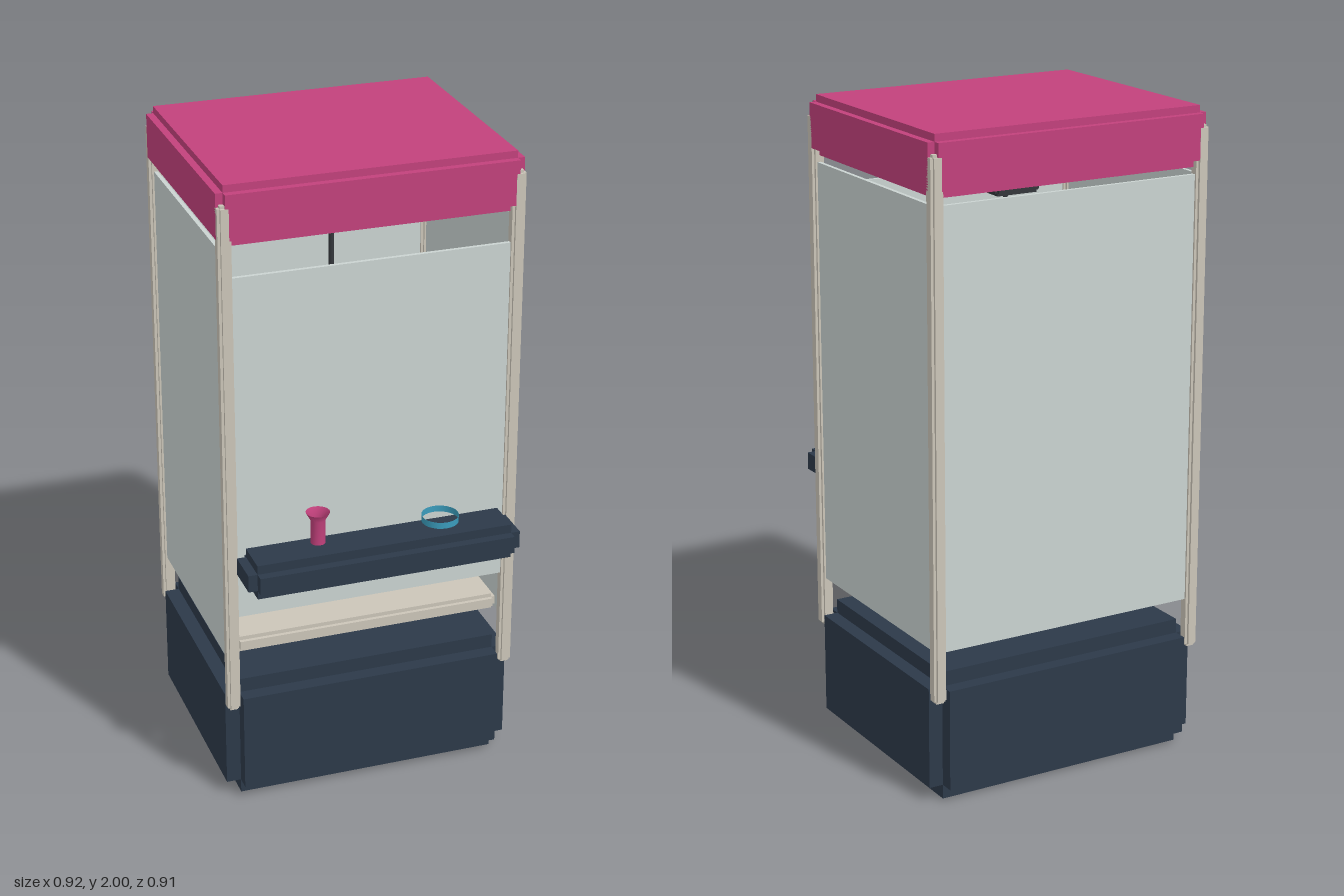
import * as THREE from 'three';

const PINK = 0xc2417c, NAVY = 0x2c3949, GLASS = 0xcad3d1, CREAM = 0xcbc5b8, BLUE = 0x3a9cbc, DARK = 0x33363b;
const MID_Z = -0.07; // centre of the cabinet, behind the console

const paint = (color, extra = {}) => new THREE.MeshStandardMaterial({ color, ...extra });

function add(parent, name, geometry, material, x = 0, y = 0, z = 0) {
  const mesh = new THREE.Mesh(geometry, material);
  mesh.name = name;
  mesh.position.set(x, y, z);
  parent.add(mesh);
  return mesh;
}

// Box with notched edges: three crossing boxes, each full size along one axis
function notchedBox(parent, name, color, [w, h, d], r, [x, y, z]) {
  const group = new THREE.Group();
  group.name = name;
  group.position.set(x, y, z);
  const material = paint(color);
  const inner = [w - 2 * r, h - 2 * r, d - 2 * r];
  [w, h, d].forEach((full, axis) => {
    const size = inner.slice();
    size[axis] = full;
    add(group, name + 'Core' + 'XYZ'[axis], new THREE.BoxGeometry(...size), material);
  });
  parent.add(group);
  return group;
}

export function createModel() {
  const model = new THREE.Group();
  model.name = 'clawMachine';

  // Cabinet base, prize floor and canopy
  notchedBox(model, 'base', NAVY, [0.915, 0.405, 0.765], 0.045, [0, 0.2025, MID_Z]);
  notchedBox(model, 'prizeFloor', CREAM, [0.84, 0.05, 0.69], 0.012, [0, 0.525, MID_Z]);
  notchedBox(model, 'canopy', PINK, [0.92, 0.18, 0.765], 0.022, [0, 1.91, MID_Z]);

  // Corner posts
  for (const sx of [-1, 1]) for (const sz of [-1, 1])
    notchedBox(model, 'cornerPost', CREAM, [0.04, 1.62, 0.04], 0.008, [sx * 0.44, 1.135, MID_Z + sz * 0.363]);

  // Glass: two sides, back, and a shorter front with openings above and below
  const glass = paint(GLASS);
  for (const sx of [-1, 1])
    add(model, 'sideGlass', new THREE.BoxGeometry(0.012, 1.32, 0.69), glass, sx * 0.44, 1.14, MID_Z);
  add(model, 'backGlass', new THREE.BoxGeometry(0.85, 1.32, 0.012), glass, 0, 1.14, MID_Z - 0.363);
  add(model, 'frontGlass', new THREE.BoxGeometry(0.85, 1.085, 0.012), glass, 0, 1.183, MID_Z + 0.363);

  // Control console with joystick and button ring
  notchedBox(model, 'console', NAVY, [0.85, 0.11, 0.17], 0.028, [0, 0.82, 0.37]);
  const stick = [[0.022, 0], [0.022, 0.075], [0.036, 0.1]].map(p => new THREE.Vector2(...p));
  add(model, 'joystick', new THREE.LatheGeometry(stick, 20),
    paint(PINK, { side: THREE.DoubleSide }), -0.193, 0.89, 0.37);
  add(model, 'buttonRing', new THREE.CylinderGeometry(0.056, 0.056, 0.02, 24, 1, true),
    paint(BLUE, { side: THREE.DoubleSide }), 0.19, 0.907, 0.37);

  // Claw: carriage, cable, hub and three curved prongs
  const claw = new THREE.Group();
  claw.name = 'claw';
  claw.position.z = MID_Z;
  model.add(claw);
  notchedBox(claw, 'carriage', DARK, [0.15, 0.055, 0.15], 0.009, [0, 1.758, 0]);
  const metal = paint(DARK);
  add(claw, 'cable', new THREE.CylinderGeometry(0.008, 0.008, 0.36, 10), metal, 0, 1.56, 0);
  add(claw, 'hub', new THREE.CylinderGeometry(0.035, 0.045, 0.06, 16), metal, 0, 1.36, 0);
  const bend = new THREE.CatmullRomCurve3([[0.03, 0], [0.1, -0.05], [0.11, -0.12], [0.04, -0.18]]
    .map(([x, y]) => new THREE.Vector3(x, y, 0)));
  const prong = new THREE.TubeGeometry(bend, 12, 0.01, 8);
  for (let i = 0; i < 3; i++)
    add(claw, 'prong', prong, metal, 0, 1.35, 0).rotation.y = i * Math.PI * 2 / 3;

  // Prize balls resting on the floor
  const ball = new THREE.SphereGeometry(0.09, 10, 6);
  [[-0.23, -0.05, 0xc9a0a4], [0.13, -0.2, 0xa9c4be], [0.19, 0.0, 0xcdbf95]].forEach(([x, z, color]) =>
    add(model, 'prizeBall', ball, paint(color, { flatShading: true }), x, 0.643, z));

  return model;
}
